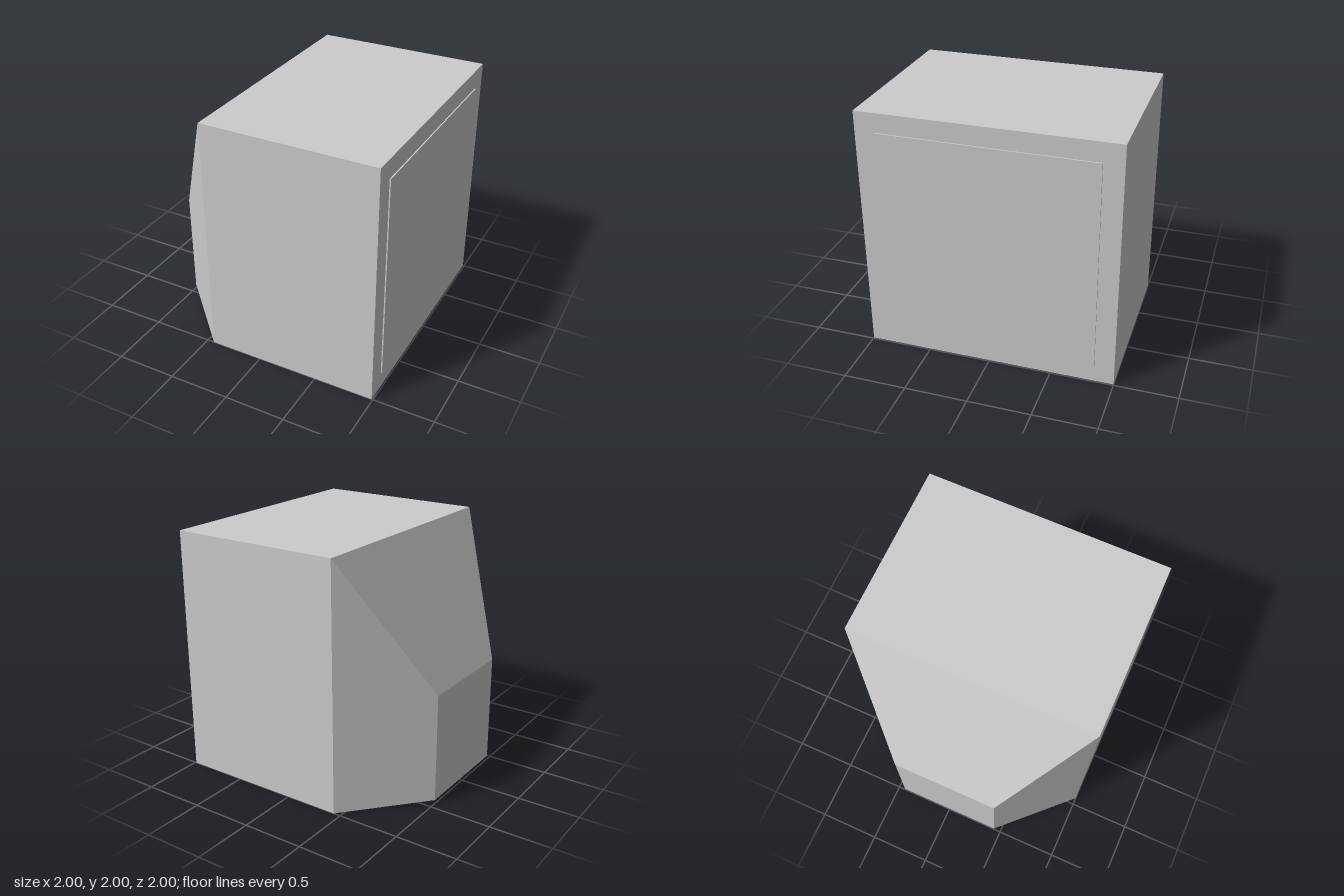
import * as THREE from 'three';
import { ConvexGeometry } from 'three/addons/geometries/ConvexGeometry.js';

export function createModel() {
  const group = new THREE.Group();
  const material = new THREE.MeshStandardMaterial({ color: 0xcccccc, flatShading: true });

  // Casing: rectangular sections along x, tapering to the small back
  const sections = [
    { x: 0.99, bottom: 0, top: 2, half: 1 },
    { x: -0.44, bottom: 0, top: 2, half: 1 },
    { x: -1, bottom: 0.03, top: 0.91, half: 0.44 },
  ];
  const corners = sections.flatMap(({ x, bottom, top, half }) =>
    [bottom, top].flatMap((y) => [-half, half].map((z) => new THREE.Vector3(x, y, z))));
  const casing = new THREE.Mesh(new ConvexGeometry(corners), material);
  casing.name = 'casing';
  group.add(casing);

  // Thin screen panel, slightly proud of the wide face
  const screen = new THREE.Mesh(new THREE.BoxGeometry(0.02, 1.7, 1.69), material);
  screen.name = 'screen';
  screen.position.set(0.99, 0.995, 0);
  group.add(screen);

  return group;
}
